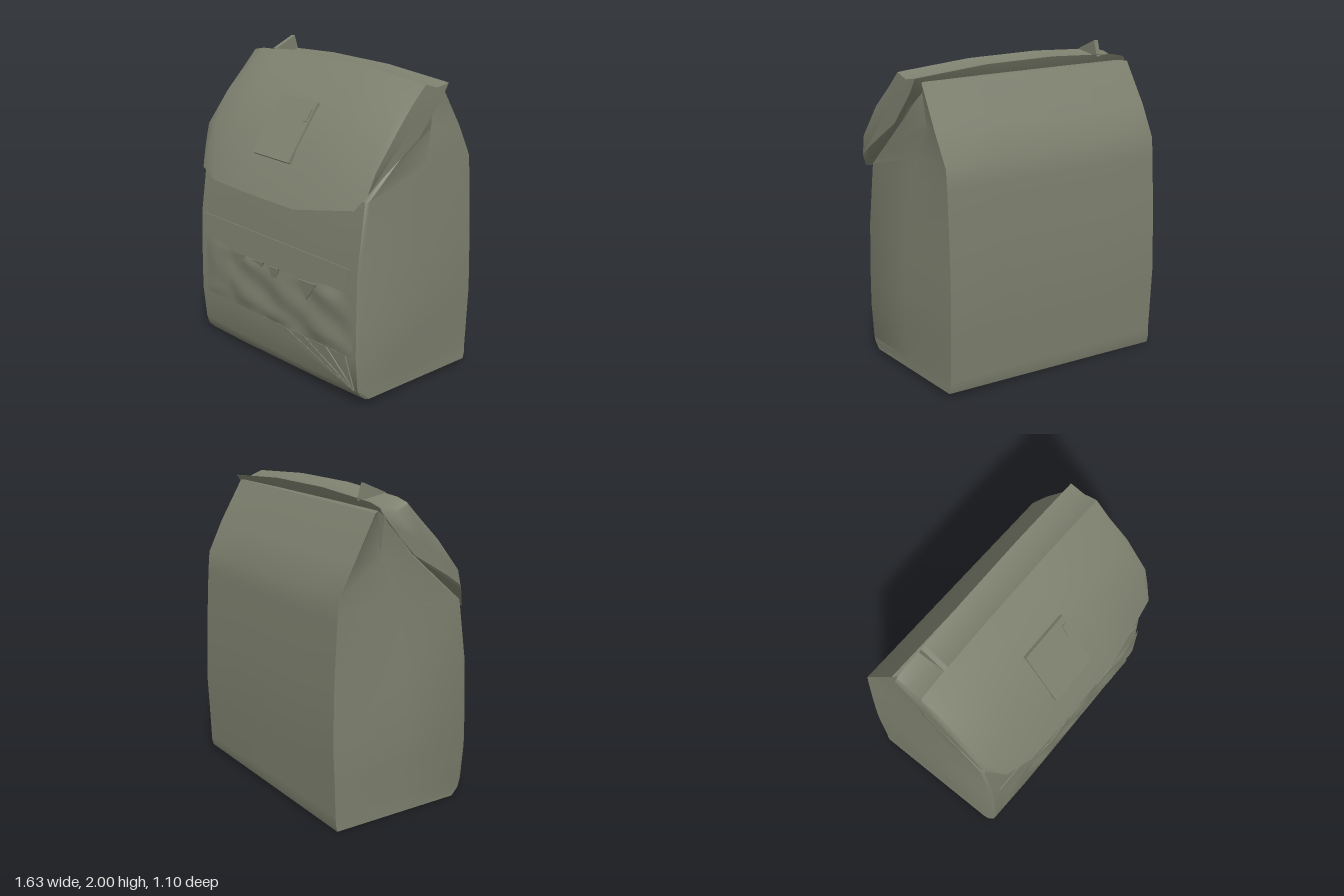
import * as THREE from 'three';
import { toCreasedNormals } from 'three/addons/utils/BufferGeometryUtils.js';

const canvas = new THREE.MeshStandardMaterial({ color: 0x7e816f, side: THREE.DoubleSide });
canvas.name = 'olive canvas';

// Skin a list of closed rings (arrays of [x, y, z]) and close both ends.
function loft(rings, crease = 0.6) {
  const n = rings[0].length, pos = rings.flat(2), idx = [];
  for (let i = 0; i < rings.length - 1; i++)
    for (let j = 0; j < n; j++) {
      const k = (j + 1) % n, a = i * n + j, b = i * n + k, c = b + n, d = a + n;
      idx.push(a, b, c, a, c, d);
    }
  [0, rings.length - 1].forEach((r, end) => {
    const mid = [0, 1, 2].map(k => rings[r].reduce((s, p) => s + p[k], 0) / n);
    const m = pos.length / 3;
    pos.push(...mid);
    for (let j = 0; j < n; j++) {
      const a = r * n + j, b = r * n + (j + 1) % n;
      if (end) idx.push(m, a, b); else idx.push(m, b, a);
    }
  });
  const g = new THREE.BufferGeometry();
  g.setAttribute('position', new THREE.Float32BufferAttribute(pos, 3));
  g.setIndex(idx);
  return toCreasedNormals(g, crease);
}

function add(group, name, geometry) {
  const mesh = new THREE.Mesh(geometry, canvas);
  mesh.name = name;
  group.add(mesh);
  return mesh;
}

// Main bag: rows of [y, front z, back z, half width, side bulge]
function bodyGeometry() {
  const rows = [
    [0, 0.39, -0.5, 0.775, 0], [0.04, 0.43, -0.51, 0.775, 0], [0.1, 0.45, -0.512, 0.772, 0.005],
    [0.32, 0.47, -0.52, 0.775, 0.02], [0.52, 0.468, -0.53, 0.775, 0.03],
    [0.87, 0.458, -0.522, 0.772, 0.01], [1.27, 0.4, -0.5, 0.77, -0.02], [1.4, 0.25, -0.488, 0.77, -0.03],
    [1.6, 0.02, -0.385, 0.775, -0.06], [1.86, -0.16, -0.235, 0.765, -0.05],
  ];
  return loft(rows.map(([y, f, b, w, s]) => {
    const m = (f + b) / 2, e = 0.012;
    const ring = [
      [-w + e, f - 0.01], [-0.4, f], [0, f], [0.4, f], [w - e, f - 0.01],
      [w, f - 0.03], [w + s, m], [w, b],
      [0.4, b], [0, b], [-0.4, b],
      [-w, b], [-w - s, m], [-w, f - 0.03],
    ];
    // the bottom seam rises towards the left and the back is slightly skewed
    return ring.map(([x, z]) => [x - 0.01, y < 0.1 ? y + 0.02 * (x + 0.8) : y, z < m ? z + 0.025 * x : z]);
  }));
}

// Lid: stations of [x, ridge y, lip y, lip z, inward sag]
function lidGeometry() {
  const stations = [
    [-0.785, 1.88, 1.37, 0.37, 0.045], [-0.77, 1.9, 1.33, 0.4, 0.03], [-0.68, 1.92, 1.2, 0.49, 0.015],
    [-0.5, 1.93, 1.16, 0.54, 0], [-0.2, 1.945, 1.155, 0.55, 0], [0.3, 1.94, 1.155, 0.55, 0],
    [0.75, 1.905, 1.24, 0.48, 0.015], [0.8, 1.9, 1.33, 0.42, 0.025],
  ];
  return loft(stations.map(([x, t, ly, lz, s]) => [
    [-0.22, t - 0.015], [-0.12, t - 0.03], [-0.03, t], [0.1 - s, 1.825 - s], [0.235 - s, 1.69 - s],
    [0.4 - s, 1.47 - s / 2], [lz, ly], [lz - 0.1, ly + 0.07], [0.02, 1.59], [-0.16, 1.79],
  ].map(([z, y], i) => [x > 0.7 && i > 3 && i < 6 ? x + 0.015 : x, y, z])), 0.7);
}

// Thin panel cut from an outline
function panelGeometry(points, depth) {
  const shape = new THREE.Shape(points.map(p => new THREE.Vector2(...p)));
  return new THREE.ExtrudeGeometry(shape, { depth, bevelEnabled: false });
}

// Crumpled pocket cloth with slanting folds
function pocketGeometry() {
  const g = new THREE.PlaneGeometry(1.44, 0.4, 36, 14);
  const p = g.attributes.position;
  for (let i = 0; i < p.count; i++) {
    const x = p.getX(i), y = p.getY(i);
    const edge = Math.min(1, (0.72 - Math.abs(x)) / 0.1, (0.2 - Math.abs(y)) / 0.06);
    const fold = Math.sin(x * 13 + y * 9) * Math.cos(y * 15 - x * 4);
    p.setZ(i, edge * (0.01 + 0.014 * fold * (x > -0.45 ? 1 : 0.3)));
  }
  g.computeVertexNormals();
  return g;
}

export function createModel() {
  const bag = new THREE.Group();
  bag.name = 'bag';
  add(bag, 'body', bodyGeometry());
  add(bag, 'lid', lidGeometry());

  // Front pocket, its cover strip and loose folds
  add(bag, 'frontPocket', pocketGeometry()).position.set(0.02, 0.52, 0.472);
  const cover = add(bag, 'pocketCover', panelGeometry(
    [[-0.72, 0], [-0.7, -0.13], [-0.35, -0.18], [0.3, -0.17], [0.68, -0.13], [0.7, 0]], 0.008));
  cover.position.set(0, 0.87, 0.46);
  cover.rotation.x = -0.09;
  [[-0.36, 0.1], [-0.2, 0.13], [-0.02, 0.1], [0.27, 0.16]].forEach(([x, w]) => {
    const fold = add(bag, 'pocketFold', panelGeometry([[0, 0], [w * 0.35, -0.12], [w, 0.01]], 0.008));
    fold.position.set(x, 0.69, 0.479);
    fold.rotation.x = 0.08;
  });
  // Creases fanning towards the lower corner
  [[-0.1, 0.12], [0.14, 0.3], [0.34, 0.5], [0.54, 0.67]].forEach(([a, b]) => {
    const crease = add(bag, 'lowerFold', panelGeometry([[a, 0], [0.73, -0.22], [b, 0]], 0.008));
    crease.position.set(0, 0.32, 0.466);
    crease.rotation.x = 0.1;
  });

  // Square patch and small tab lying on the sloping lid
  const patch = new THREE.Group();
  patch.name = 'lidPatch';
  patch.position.set(-0.01, 1.555, 0.338);
  patch.rotation.x = -0.62;
  add(patch, 'patch', new THREE.BoxGeometry(0.34, 0.41, 0.024));
  add(patch, 'patchTab', new THREE.BoxGeometry(0.03, 0.09, 0.01)).position.set(0.14, 0.11, 0.015);
  bag.add(patch);

  // Cloth fin standing up from the ridge
  const fin = add(bag, 'ridgeFin', panelGeometry([[-0.22, 1.9], [-0.03, 1.93], [-0.19, 2]], 0.03));
  fin.rotation.y = -Math.PI / 2;
  fin.position.x = -0.55;
  return bag;
}
